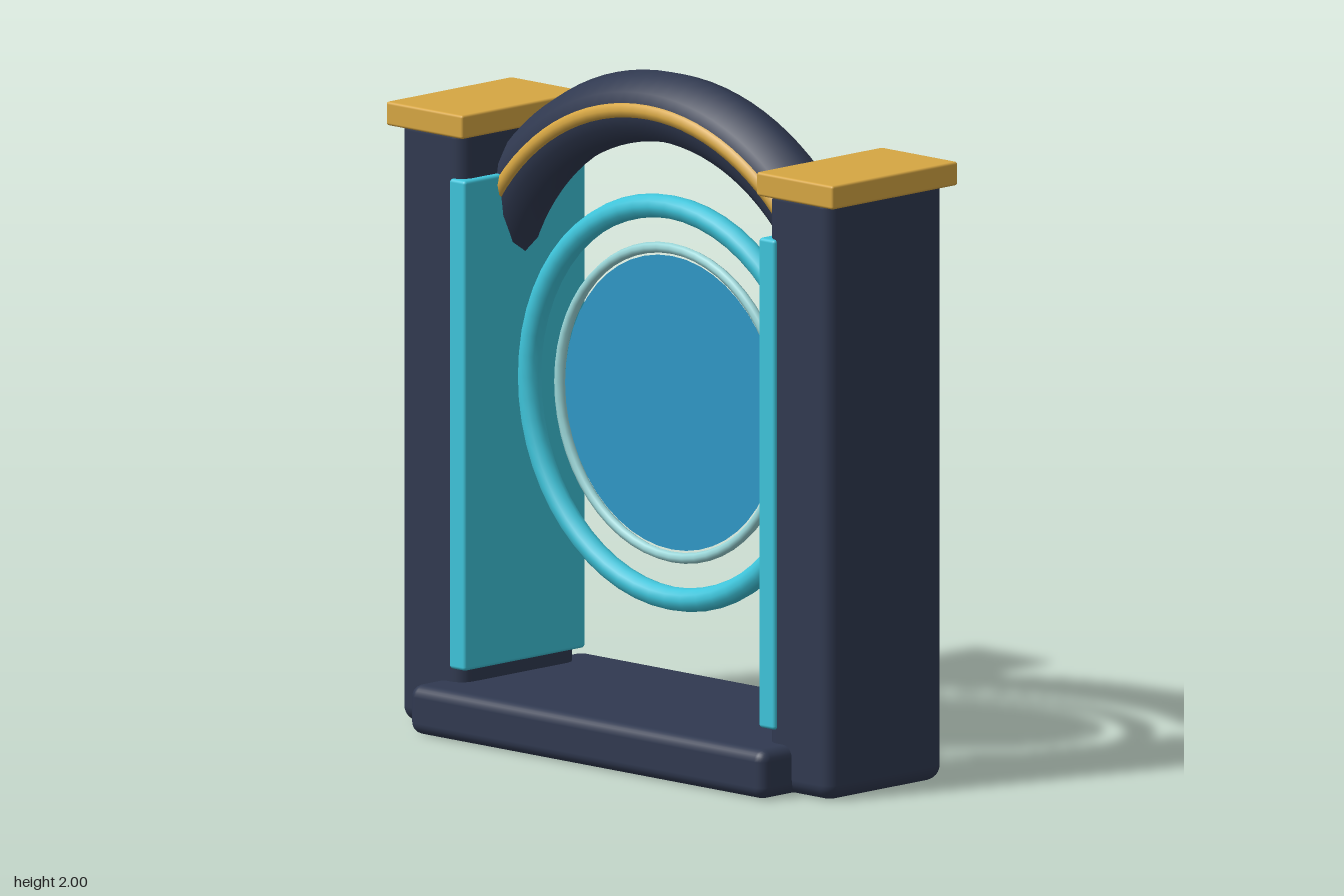
import * as THREE from 'three';
import { RoundedBoxGeometry } from 'three/addons/geometries/RoundedBoxGeometry.js';

const material = (name, color) => {
  const m = new THREE.MeshStandardMaterial({ color });
  m.name = name;
  return m;
};

export function createModel() {
  const model = new THREE.Group();
  model.name = 'portalGate';

  const slate = material('darkSlate', 0x303950);
  const gold = material('gold', 0xd6a643);
  const cyan = material('cyan', 0x3ec4da);
  const pale = material('paleTeal', 0x9ad6d8);
  const blue = material('portalBlue', 0x2f98c6);
  blue.side = THREE.DoubleSide;

  const add = (name, geometry, mat, x, y, z = 0) => {
    const mesh = new THREE.Mesh(geometry, mat);
    mesh.name = name;
    mesh.position.set(x, y, z);
    model.add(mesh);
    return mesh;
  };
  // Rounded block spanning y0 to y1
  const block = (name, mat, x, y0, y1, width, depth, radius) =>
    add(name, new RoundedBoxGeometry(width, y1 - y0, depth, 3, radius), mat, x, (y0 + y1) / 2);

  // Base slab
  block('base', slate, 0, 0, 0.145, 1.44, 0.72, 0.035);

  // Pillars with caps and glowing inner panels
  for (const [side, s] of [['left', 1], ['right', -1]]) {
    block(side + 'Pillar', slate, s * 0.745, 0, 1.79, 0.26, 0.48, 0.045);
    block(side + 'Cap', gold, s * 0.75, 1.755, 1.825, 0.31, 0.52, 0.008);
    block(side + 'Panel', cyan, s * 0.627, 0.185, 1.63, 0.066, 0.5, 0.01);
  }

  // Arch whose ends sink into the pillars, with a gold trim on its front
  const archY = 1.149, archR = 0.746;
  add('arch', new THREE.TorusGeometry(archR, 0.105, 12, 48, Math.PI), slate, 0, archY);
  add('archTrim', new THREE.TorusGeometry(archR, 0.025, 8, 48, Math.PI), gold, 0, archY, 0.09);

  // Portal rings and disc
  const portalY = 1.025;
  add('outerRing', new THREE.TorusGeometry(0.577, 0.035, 12, 56), cyan, 0, portalY);
  add('innerRing', new THREE.TorusGeometry(0.455, 0.016, 8, 56), pale, 0, portalY);
  add('portalDisc', new THREE.CircleGeometry(0.433, 48), blue, 0, portalY);

  return model;
}
